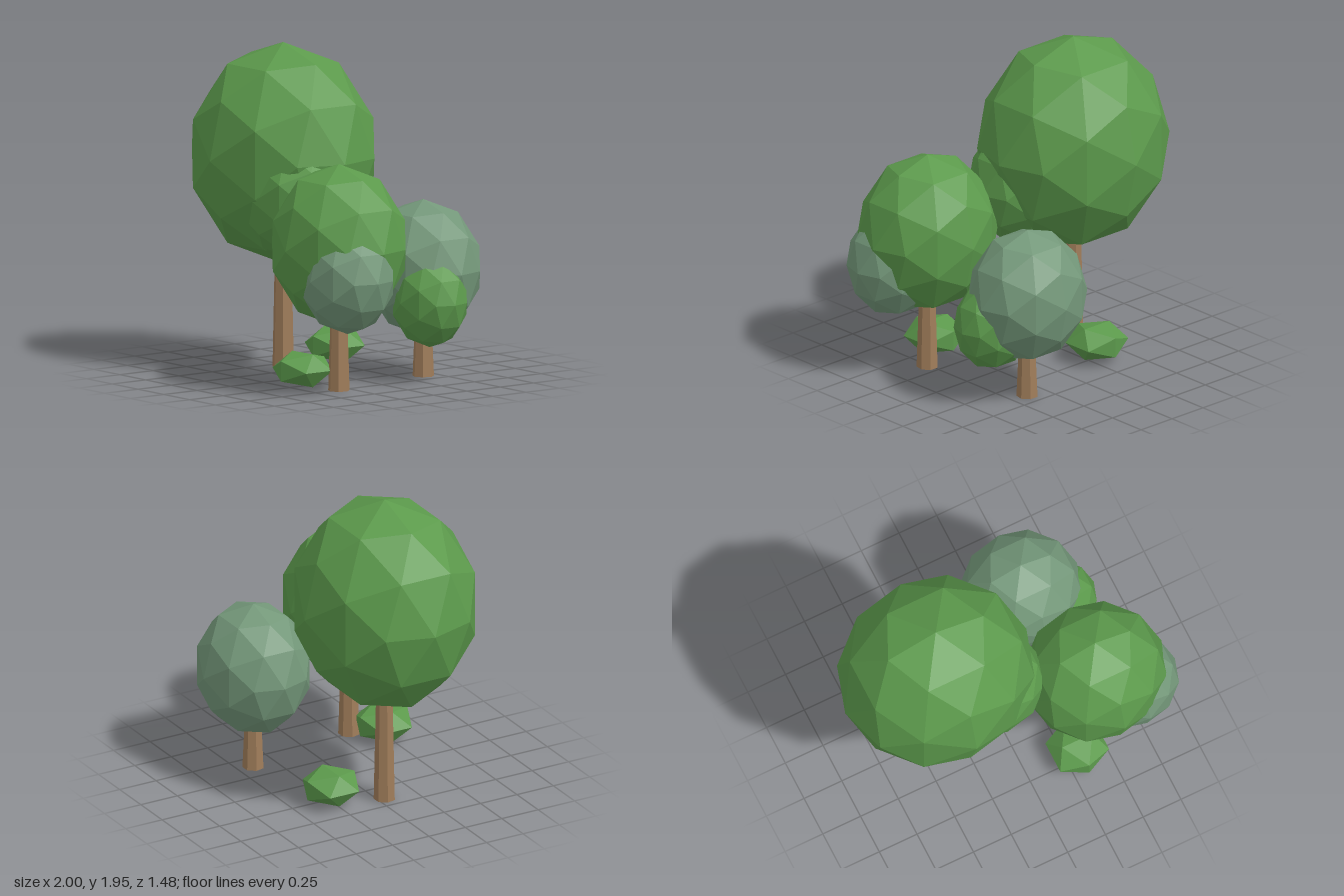
import * as THREE from 'three';

const material = (name, color) => {
  const m = new THREE.MeshStandardMaterial({ color, flatShading: true });
  m.name = name;
  return m;
};

export function createModel() {
  const leaf = material('leafGreen', 0x5c9a4c);
  const sage = material('sageGreen', 0x74987a);
  const bark = material('barkBrown', 0xa07d5a);
  const group = new THREE.Group();
  group.name = 'treeCluster';

  // Faceted, stretched ball of foliage
  function foliage(parent, name, mat, center, radii, detail) {
    const geometry = new THREE.IcosahedronGeometry(1, detail);
    geometry.scale(...radii);
    const mesh = new THREE.Mesh(geometry, mat);
    mesh.name = name;
    mesh.position.set(...center);
    parent.add(mesh);
  }

  // Each tree: tapered seven-sided trunk, main crown, smaller side crown
  const trees = [
    {
      name: 'tallTree', trunk: [-0.4, 0.045], height: 0.72,
      crown: [leaf, [-0.4, 1.285, 0.045], [0.6, 0.665, 0.55]],
      side: [leaf, [-0.12, 1.065, 0.17], [0.35, 0.38, 0.32]],
    },
    {
      name: 'middleTree', trunk: [0.512, 0.333], height: 0.48,
      crown: [leaf, [0.512, 0.87, 0.333], [0.44, 0.49, 0.402]],
      side: [sage, [0.7, 0.705, 0.415], [0.3, 0.335, 0.278]],
    },
    {
      name: 'smallTree', trunk: [0.383, -0.4], height: 0.34,
      crown: [sage, [0.383, 0.65, -0.4], [0.374, 0.412, 0.342]],
      side: [leaf, [0.57, 0.485, -0.303], [0.25, 0.28, 0.22]],
    },
  ];
  for (const t of trees) {
    const tree = new THREE.Group();
    tree.name = t.name;
    const trunk = new THREE.Mesh(new THREE.CylinderGeometry(0.05, 0.065, t.height, 7), bark);
    trunk.name = 'trunk';
    trunk.position.set(t.trunk[0], t.height / 2, t.trunk[1]);
    tree.add(trunk);
    foliage(tree, 'crown', ...t.crown, 1);
    foliage(tree, 'sideCrown', ...t.side, 1);
    group.add(tree);
  }

  // Low bushes on the ground
  for (const [x, z] of [[0.329, 0.464], [-0.303, -0.267]]) {
    foliage(group, 'bush', leaf, [x, 0.118, z], [0.19, 0.115, 0.19], 0);
  }
  return group;
}
